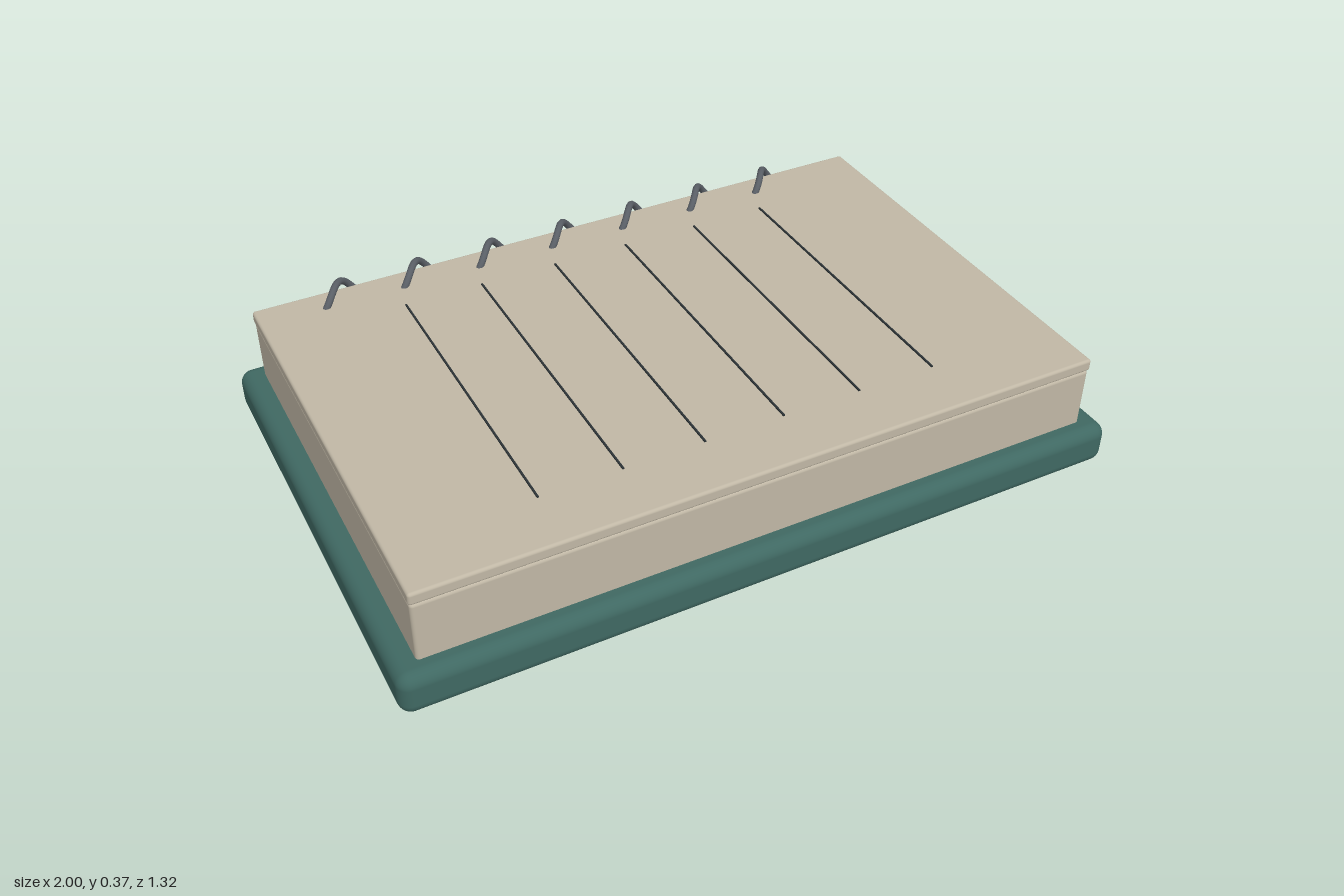
import * as THREE from 'three';
import { RoundedBoxGeometry } from 'three/addons/geometries/RoundedBoxGeometry.js';

const material = (color) => new THREE.MeshStandardMaterial({ color });

export function createModel() {
  const model = new THREE.Group();
  model.name = 'spiralNotebook';
  const teal = material(0x3f6862);
  const paper = material(0xc0b7a5);
  const metal = material(0x5a5f66);
  const ink = material(0x2c3336);

  const add = (name, geometry, mat, x = 0, y = 0, z = 0) => {
    const mesh = new THREE.Mesh(geometry, mat);
    mesh.name = name;
    mesh.position.set(x, y, z);
    model.add(mesh);
  };

  // Slab of given width, depth, bottom and top height
  const slab = (name, w, d, y0, y1, radius, mat) =>
    add(name, new RoundedBoxGeometry(w, y1 - y0, d, 4, radius), mat, 0, (y0 + y1) / 2);

  slab('base', 2, 1.32, 0, 0.12, 0.035, teal);
  slab('pageBlock', 1.875, 1.215, 0.08, 0.291, 0.01, paper);
  slab('topSheet', 1.88, 1.22, 0.291, 0.326, 0.008, paper);

  // Ruled lines on the top sheet
  for (let i = 0; i < 6; i++) {
    add('ruledLine', new THREE.BoxGeometry(0.005, 0.006, 0.89), ink, (i - 2.5) * 0.222 - 0.003, 0.327, 0);
  }

  // Coil binding: one helix running through the back edge of the pages
  const turns = 6.95, pitch = 0.2238, radius = 0.049, steps = 168;
  const points = [];
  for (let i = 0; i <= steps; i++) {
    const t = (i / steps) * turns;
    const a = t * Math.PI * 2;
    points.push(new THREE.Vector3(
      -0.765 + t * pitch,
      0.309 + Math.sin(a) * radius,
      -0.58 + Math.cos(a) * radius
    ));
  }
  const coil = new THREE.CatmullRomCurve3(points);
  add('coilBinding', new THREE.TubeGeometry(coil, 336, 0.01, 10, false), metal);

  return model;
}
